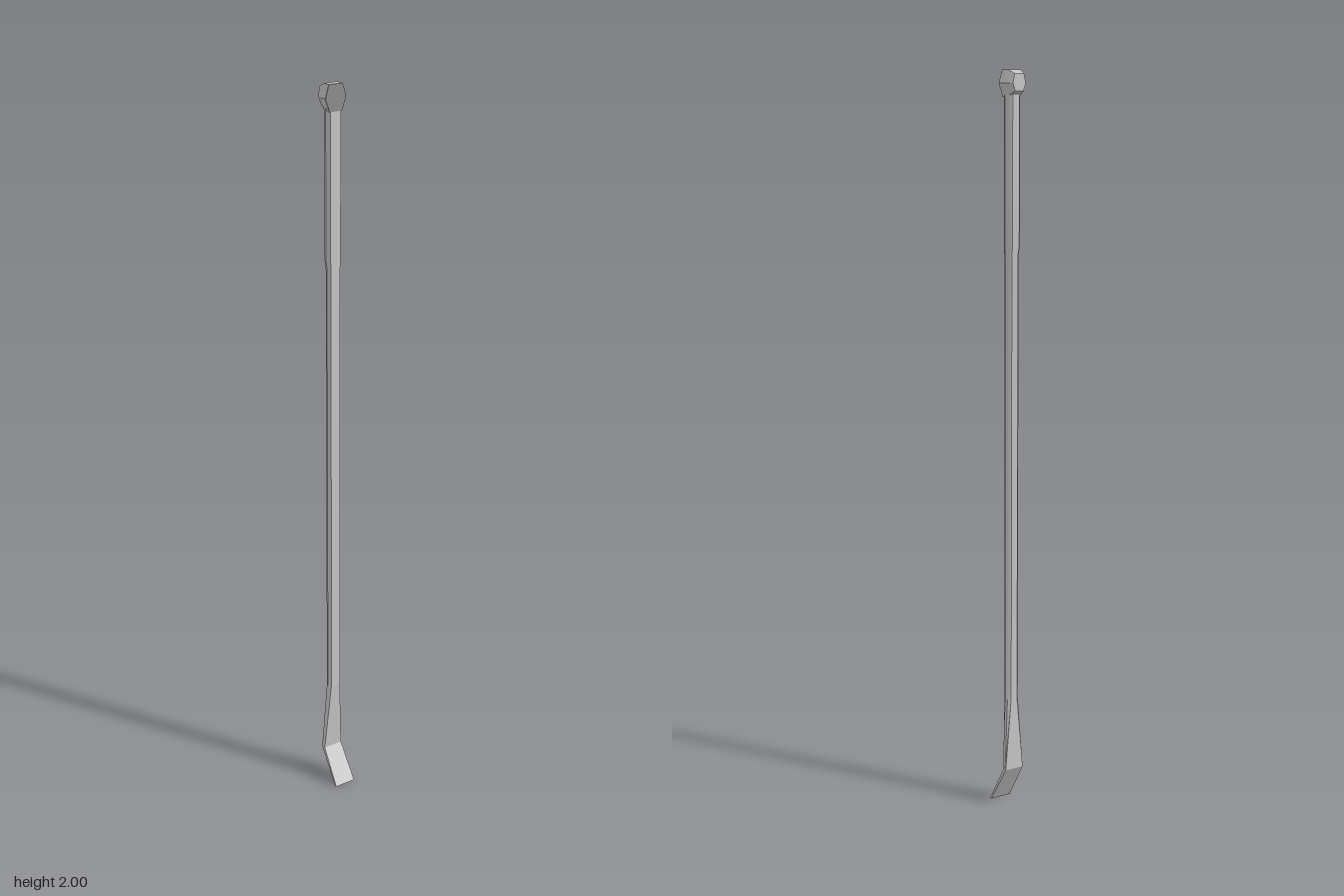
import * as THREE from 'three';
import { toCreasedNormals } from 'three/addons/utils/BufferGeometryUtils.js';

const steel = new THREE.MeshStandardMaterial({ color: 0xc4c4c4 });
steel.name = 'steel';
const darkSteel = new THREE.MeshStandardMaterial({ color: 0x8c8c8c });
darkSteel.name = 'dark steel';

// Skin a list of equal-length rings; each ring runs counter-clockwise seen from the last one
function loft(rings, crease, capStart, capEnd) {
  const n = rings[0].length;
  const index = [];
  for (let r = 0; r < rings.length - 1; r++) {
    for (let i = 0; i < n; i++) {
      const j = (i + 1) % n;
      const a = r * n + i, b = r * n + j, c = a + n, d = b + n;
      index.push(a, b, d, a, d, c);
    }
  }
  const last = (rings.length - 1) * n;
  for (let i = 1; i < n - 1; i++) {
    if (capStart) index.push(0, i + 1, i);
    if (capEnd) index.push(last, last + i, last + i + 1);
  }
  const g = new THREE.BufferGeometry();
  g.setAttribute('position', new THREE.Float32BufferAttribute(rings.flat(2), 3));
  g.setIndex(index);
  return toCreasedNormals(g, crease);
}

// Bar section: flat front, rounded back; square = 1 makes it a rectangle
function section(y, w, front, back, square = 0) {
  const mix = (v) => w * THREE.MathUtils.lerp(v, 1, square);
  const d = front - back;
  const half = [
    [mix(0.75), y, front],
    [w, y, front - 0.4 * d],
    [mix(0.88), y, front - 0.72 * d],
    [mix(0.5), y, back],
  ];
  return [...half, ...half.slice().reverse().map(([x, h, z]) => [-x, h, z])];
}

// Six-sided outline of the head at depth z
function headRing(z, topW, midW, lowW, top, low) {
  const mid = 1.965;
  return [
    [topW, top, z], [-topW, top, z], [-midW, mid, z],
    [-lowW, low, z], [lowW, low, z], [midW, mid, z],
  ];
}

export function createModel() {
  const group = new THREE.Group();
  const add = (name, geometry, material) => {
    const mesh = new THREE.Mesh(geometry, material);
    mesh.name = name;
    group.add(mesh);
  };

  // Shaft with a slightly thicker grip at the top
  add('shaft', loft([
    section(0.3, 0.02, 0, -0.024),
    section(1.52, 0.02, 0, -0.027),
    section(1.54, 0.022, 0, -0.031),
    section(1.94, 0.022, 0, -0.032),
  ], 0.65, false, true), steel);

  // Flared neck bending into the flat angled blade
  add('blade', loft([
    section(0, 0.032, 0.045, 0.039, 1),
    section(0.1, 0.029, -0.013, -0.025, 1),
    section(0.3, 0.02, 0, -0.024),
  ], 0.4, true, false), steel);

  // Faceted head, tapered towards the back
  const face = headRing(0, 0.022, 0.033, 0.02, 2, 1.93);
  add('head', loft([
    headRing(-0.046, 0.015, 0.021, 0.013, 1.99, 1.945),
    headRing(-0.022, 0.021, 0.031, 0.019, 2, 1.932),
    face,
  ], 0.5, true, false), steel);

  // Dark front face of the head
  const outline = new THREE.Shape(face.map(([x, y]) => new THREE.Vector2(x, y)));
  const plate = new THREE.ShapeGeometry(outline);
  plate.translate(0, 0, 0.001);
  add('headFace', plate, darkSteel);

  return group;
}
